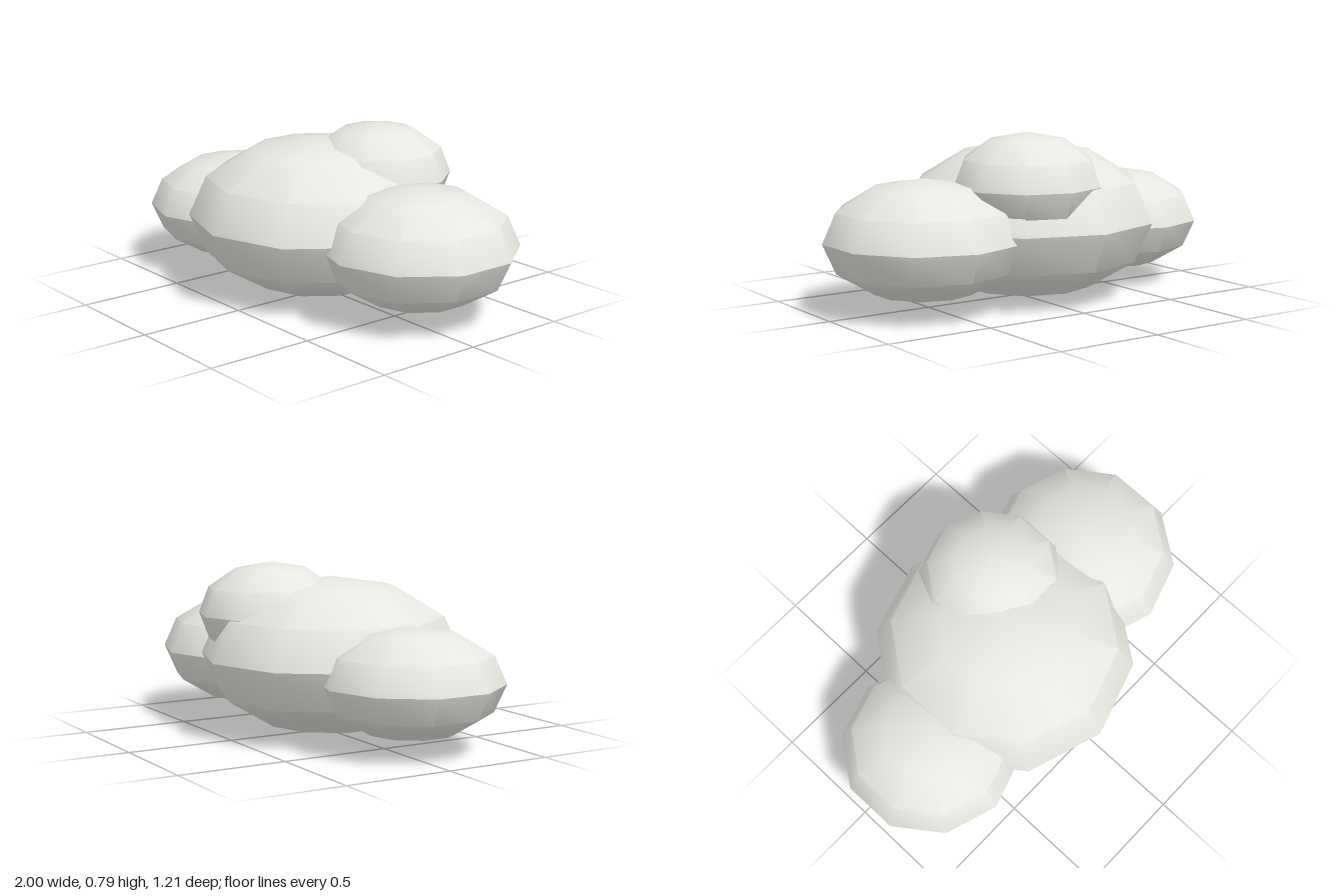
import * as THREE from 'three';
import { toCreasedNormals } from 'three/addons/utils/BufferGeometryUtils.js';

// Low-poly flattened ball, smooth except for a crease around its equator
function puffGeometry(radius, height) {
  const sphere = new THREE.SphereGeometry(1, 10, 6, Math.PI / 2);
  sphere.scale(radius, height, radius);
  return toCreasedNormals(sphere, THREE.MathUtils.degToRad(38));
}

export function createModel() {
  const cloud = new THREE.Group();
  cloud.name = 'cloud';
  const cloudWhite = new THREE.MeshStandardMaterial({ color: 0xe8e6e0 });
  cloudWhite.name = 'cloudWhite';

  // name, horizontal radius, half height, centre
  const puffs = [
    ['mainPuff', 0.605, 0.363, [-0.04, 0.363, 0]],
    ['leftPuff', 0.452, 0.271, [0.568, 0.328, -0.077]],
    ['rightPuff', 0.414, 0.248, [-0.606, 0.305, 0.071]],
    ['topPuff', 0.342, 0.238, [0.114, 0.553, -0.225]],
  ];
  for (const [name, radius, height, centre] of puffs) {
    const puff = new THREE.Mesh(puffGeometry(radius, height), cloudWhite);
    puff.name = name;
    puff.position.set(...centre);
    cloud.add(puff);
  }
  return cloud;
}
